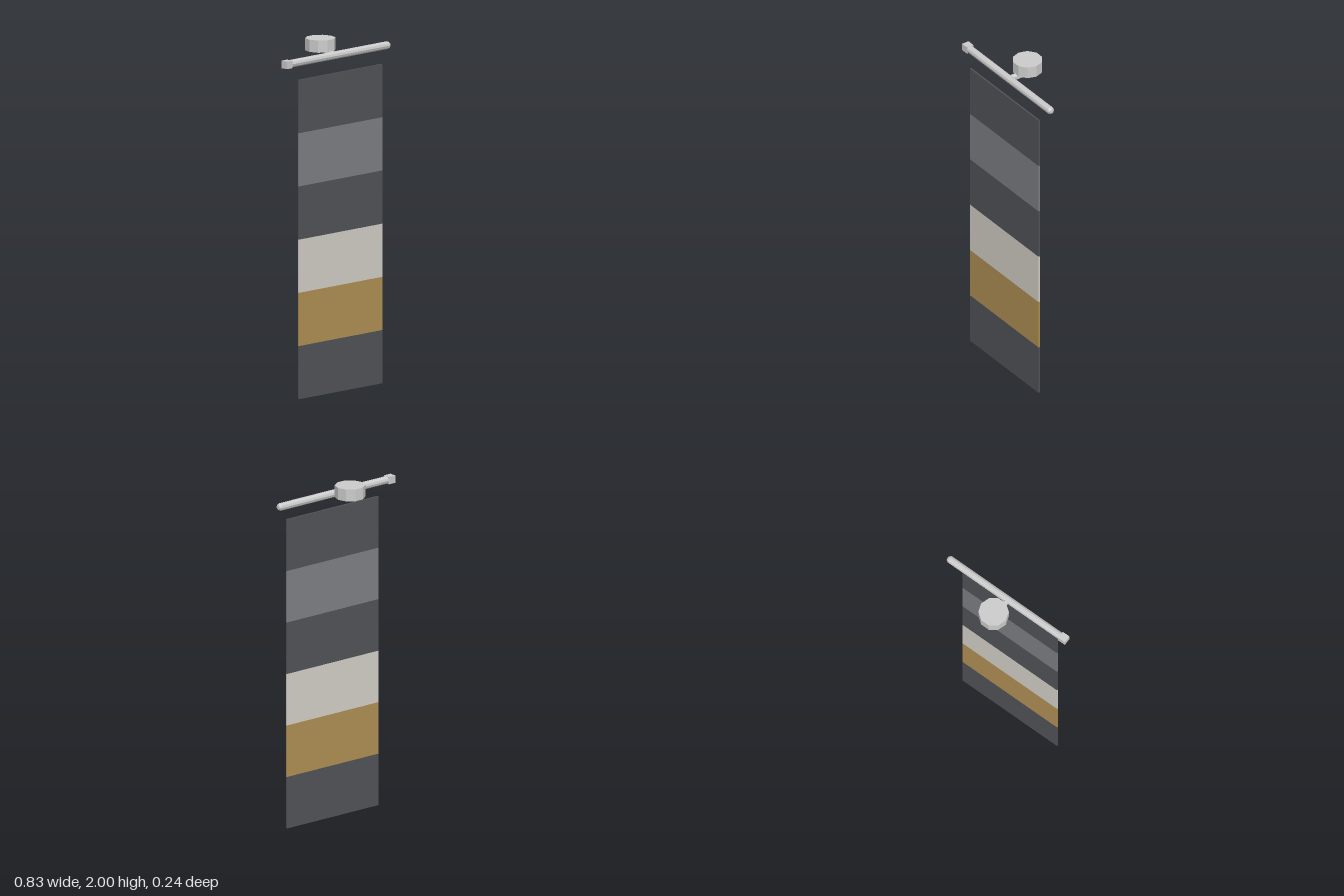
import * as THREE from 'three';

const metal = new THREE.MeshStandardMaterial({ color: 0xcccccc, flatShading: true });

function addPart(group, name, geometry, material, x, y, z) {
  const mesh = new THREE.Mesh(geometry, material);
  mesh.name = name;
  mesh.position.set(x, y, z);
  group.add(mesh);
  return mesh;
}

export function createModel() {
  const model = new THREE.Group();
  model.name = 'hangingBanner';
  const barY = 1.92, barZ = 0.089;

  // Hanging rod: a ten-sided bar with a bevelled left tip
  const profile = [[0, -0.4], [0.022, -0.4], [0.022, 0.402], [0.014, 0.414], [0, 0.416]]
    .map(([r, x]) => new THREE.Vector2(r, x));
  const rod = addPart(model, 'rod', new THREE.LatheGeometry(profile, 10), metal, 0, barY, barZ);
  rod.rotation.z = -Math.PI / 2;

  // Square block on the right end of the rod
  addPart(model, 'rodEndBlock', new THREE.BoxGeometry(0.046, 0.043, 0.044), metal, -0.394, barY, barZ);

  // Ten-sided mounting disc, with a corner pointing along +x
  const disc = addPart(model, 'mountDisc', new THREE.CylinderGeometry(0.086, 0.086, 0.07, 10), metal, 0, 1.965, -0.041);
  disc.rotation.y = Math.PI / 2;

  // Six-sided stem between disc and rod, ridge upwards
  const stemGeometry = new THREE.CylinderGeometry(0.02, 0.02, 0.07, 6).rotateX(Math.PI / 2);
  addPart(model, 'stem', stemGeometry, metal, 0, 1.917, 0.043);

  // Cloth: six equal colour bands, bottom to top
  const bandColors = [0x505358, 0xb08f54, 0xd2cfc6, 0x505358, 0x7d7f83, 0x505358];
  const bandHeight = 1.826 / bandColors.length;
  const cloth = new THREE.Group();
  cloth.name = 'cloth';
  bandColors.forEach((color, i) => {
    const material = new THREE.MeshStandardMaterial({ color });
    addPart(cloth, `clothBand${i + 1}`, new THREE.BoxGeometry(0.66, bandHeight, 0.009), material,
      0, (i + 0.5) * bandHeight, 0.116);
  });
  model.add(cloth);

  return model;
}
